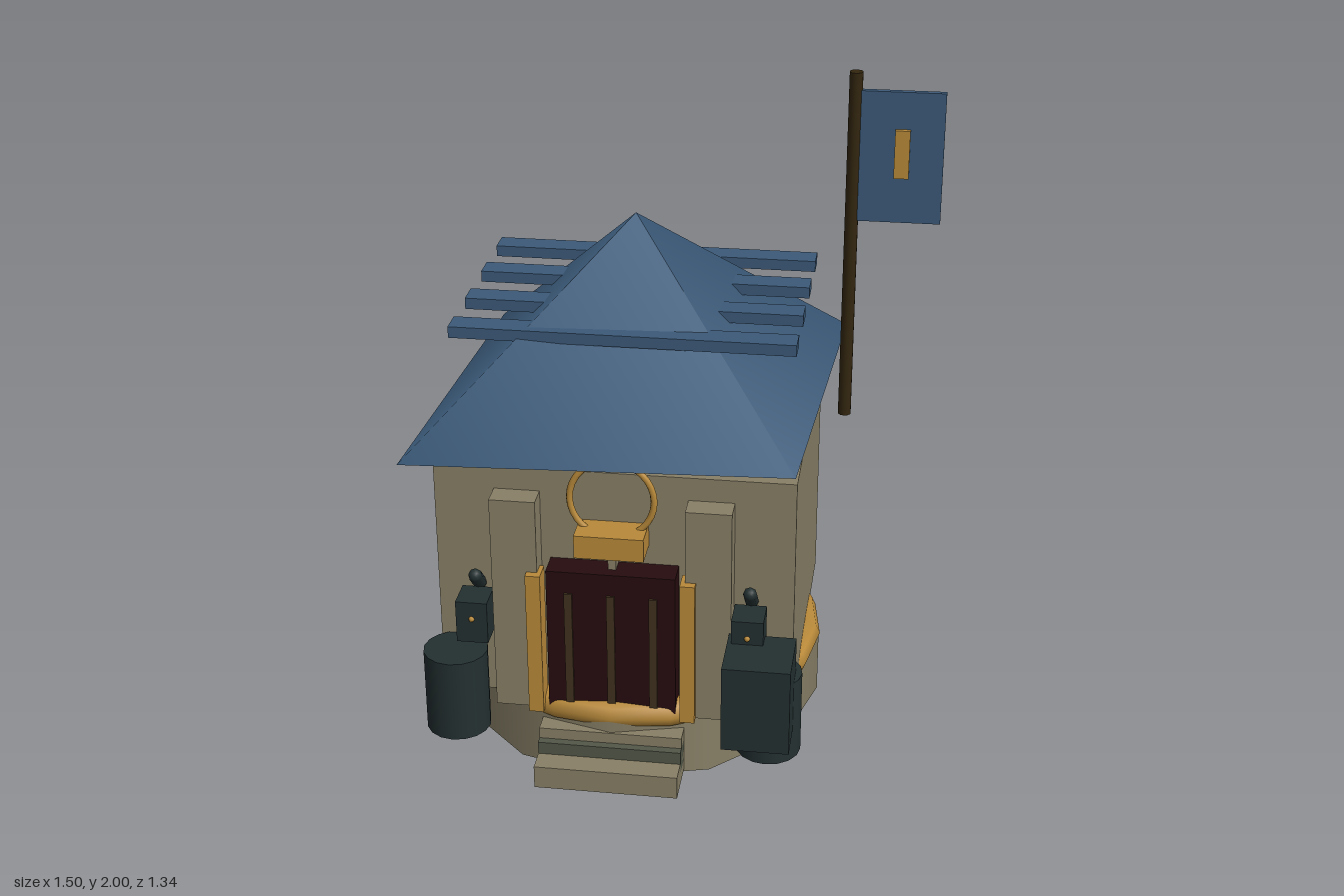
import * as THREE from 'three';

const mat = (name, color) => {
  const m = new THREE.MeshStandardMaterial({ color });
  m.name = name;
  return m;
};

export function createModel() {
  const stone = mat('stone', 0x888067);
  const slate = mat('slateBlue', 0x3b5a79);
  const gold = mat('gold', 0xb98a3a);
  const iron = mat('darkIron', 0x243031);
  const maroon = mat('maroon', 0x260c0f);
  const bronze = mat('darkBronze', 0x41311f);
  const wood = mat('darkWood', 0x33260f);
  const moss = mat('mossStone', 0x525748);

  const model = new THREE.Group();
  model.name = 'guardHouse';
  const CX = -0.147, CZ = -0.0625; // centre of the building

  const add = (name, geo, material, x = 0, y = 0, z = 0) => {
    const mesh = new THREE.Mesh(geo, material);
    mesh.name = name;
    mesh.position.set(x, y, z);
    model.add(mesh);
    return mesh;
  };
  // box from its minimum and maximum on each axis
  const box = (name, material, x0, x1, y0, y1, z0, z1) =>
    add(name, new THREE.BoxGeometry(x1 - x0, y1 - y0, z1 - z0), material,
      (x0 + x1) / 2, (y0 + y1) / 2, (z0 + z1) / 2);

  // round foundation and its gold rim
  add('foundation', new THREE.CylinderGeometry(0.583, 0.583, 0.205, 12), stone, CX, 0.1025, CZ);
  const rim = new THREE.TorusGeometry(0.543, 0.044, 8, 20).rotateX(Math.PI / 2);
  add('foundationRim', rim, gold, CX, 0.207, CZ);

  // steps
  box('lowerStep', stone, -0.365, 0.07, 0.012, 0.085, 0.45, 0.622);
  box('middleStep', moss, -0.365, 0.07, 0.05, 0.125, 0.4, 0.55);
  box('upperStep', stone, -0.365, 0.07, 0.085, 0.16, 0.35, 0.525);

  // walls
  box('walls', stone, -0.685, 0.39, 0.21, 0.978, -0.52, 0.4);

  // pyramid roof with skewed corners, floating above the walls
  const roof = new THREE.ConeGeometry(1, 0.58, 4).scale(0.857, 1, 0.76).rotateY(Math.PI / 4);
  add('roof', roof, slate, CX, 1.325, -0.064);
  for (const z of [-0.465, -0.242, -0.018, 0.205])
    box('roofSlat', slate, -0.66, 0.366, 1.311, 1.346, z - 0.04, z + 0.04);

  // door with bars
  box('door', maroon, CX - 0.193, CX + 0.193, 0.22, 0.685, 0.39, 0.485);
  for (const dx of [-0.127, 0, 0.127])
    box('doorBar', bronze, CX + dx - 0.012, CX + dx + 0.012, 0.24, 0.615, 0.48, 0.492);

  // parts mirrored about the doorway
  for (const s of [-1, 1]) {
    add('pillar', new THREE.BoxGeometry(0.137, 0.7, 0.085), stone, CX + s * 0.289, 0.555, 0.4325);
    add('doorFrame', new THREE.BoxGeometry(0.045, 0.47, 0.07), gold, CX + s * 0.23, 0.437, 0.465);
    add('barrel', new THREE.CylinderGeometry(0.0975, 0.0975, 0.265, 16), iron, CX + s * 0.475, 0.267, 0.4875);
    const lx = CX + s * 0.411;
    add('lantern', new THREE.BoxGeometry(0.095, 0.135, 0.1), iron, lx, 0.518, 0.48);
    const arm = add('lanternArm', new THREE.CapsuleGeometry(0.021, 0.075, 4, 8), iron, lx, 0.613, 0.433);
    arm.rotation.x = Math.PI / 4;
    add('lanternStud', new THREE.SphereGeometry(0.009, 8, 6), gold, lx, 0.53, 0.53);
  }

  // crate beside the door
  box('crate', iron, 0.205, 0.405, 0.235, 0.51, 0.475, 0.672);

  // emblem above the door
  add('emblemRing', new THREE.TorusGeometry(0.125, 0.01, 8, 32), gold, CX, 0.91, 0.435);
  box('emblemPlate', gold, CX - 0.103, CX + 0.103, 0.747, 0.82, 0.4, 0.505);
  box('emblemStem', stone, CX - 0.012, CX + 0.012, 0.66, 0.75, 0.39, 0.45);

  // rear wall fittings
  for (const [y0, y1] of [[0.65, 0.745], [0.335, 0.425]])
    box('rearPeg', stone, CX - 0.014, CX + 0.014, y0, y1, -0.545, -0.5);
  box('rearVent', moss, CX - 0.08, CX + 0.08, 0.2, 0.32, -0.542, -0.5);

  // flag
  add('flagPole', new THREE.CylinderGeometry(0.021, 0.021, 1.12, 10), wood, 0.48, 1.44, -0.31);
  box('flag', slate, 0.48, 0.75, 1.535, 1.945, -0.32, -0.3);
  box('flagPatch', gold, 0.603, 0.648, 1.68, 1.83, -0.305, -0.284);

  return model;
}
